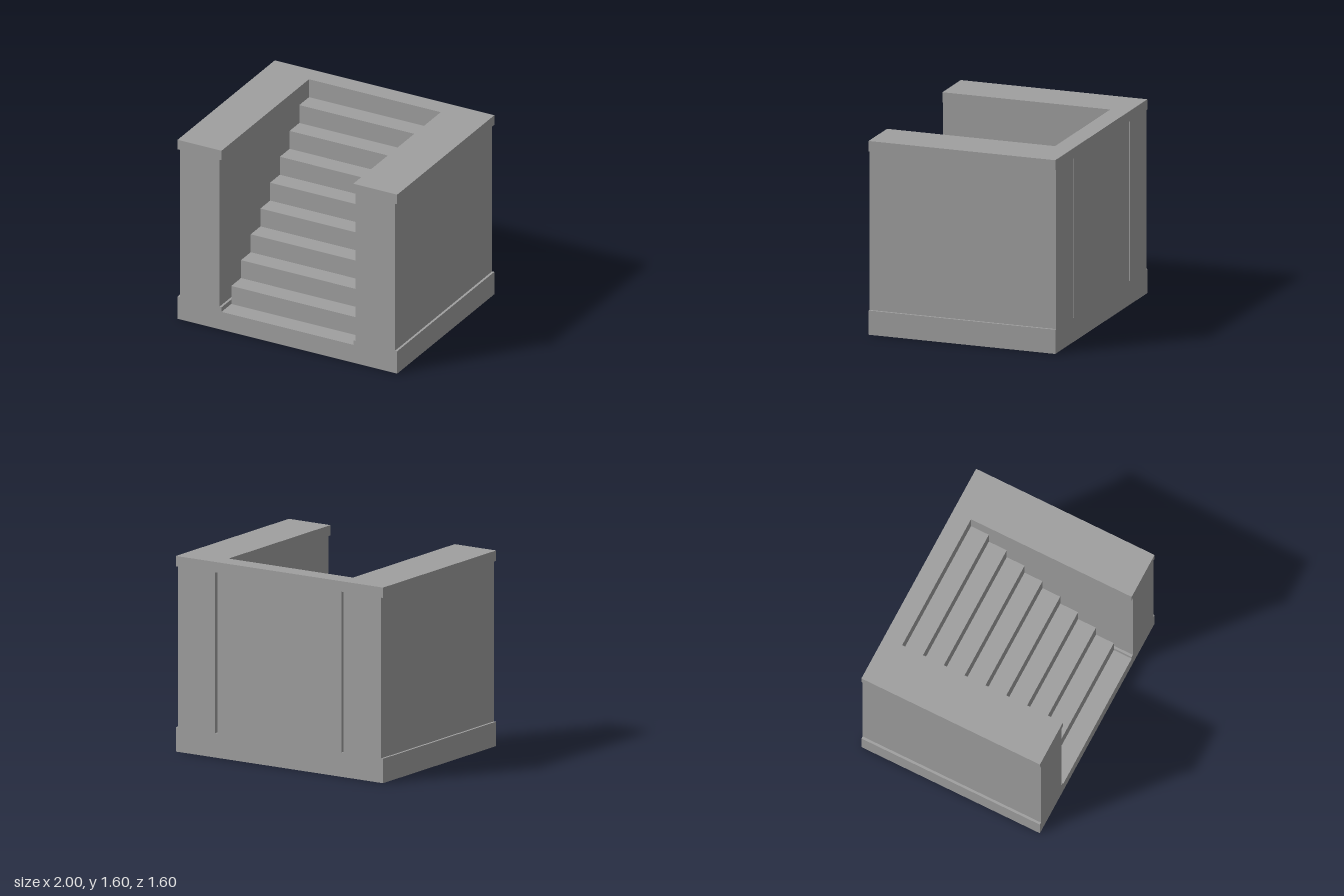
import * as THREE from 'three';

// Order of the side faces inside a BoxGeometry index
const SIDES = ['right', 'left', 'top', 'bottom', 'front', 'back'];

// Box between two corners, with the named sides left open
function openBox(min, max, open = []) {
  const size = max.map((v, i) => v - min[i]);
  const geo = new THREE.BoxGeometry(...size);
  geo.translate(...max.map((v, i) => (v + min[i]) / 2));
  const index = Array.from(geo.index.array);
  geo.setIndex(index.filter((_, i) => !open.includes(SIDES[Math.floor(i / 6)])));
  geo.clearGroups();
  return geo;
}

export function createModel() {
  const model = new THREE.Group();
  model.name = 'walledStaircase';
  const stone = new THREE.MeshStandardMaterial({ color: 0xa0a0a0, side: THREE.DoubleSide });
  stone.name = 'grey stone';

  const add = (parent, name, geometry) => {
    const mesh = new THREE.Mesh(geometry, stone);
    mesh.name = name;
    parent.add(mesh);
  };

  const depth = 0.8, inner = 0.6, outer = 1, inset = 0.02;
  const plinthTop = 0.2, capBottom = 1.515, height = 1.6;

  // Side walls: hollow plinth, narrower wall and overhanging cap
  for (const [side, sign] of [['left', 1], ['right', -1]]) {
    const wall = new THREE.Group();
    wall.name = side + 'SideWall';
    const block = (name, gap, y0, y1, open) => {
      const xs = [sign * (inner + gap), sign * (outer - gap)].sort((a, b) => a - b);
      add(wall, name, openBox([xs[0], y0, -depth], [xs[1], y1, depth], open));
    };
    block('plinth', 0, 0, plinthTop, ['bottom']);
    block('wall', inset, plinthTop, capBottom, ['top', 'bottom']);
    block('cap', 0, capBottom, height);
    model.add(wall);
  }

  // Stairs: hollow full-height steps; each riser closes the step before it
  const stairs = new THREE.Group();
  stairs.name = 'stairs';
  const count = 10, rise = height / count, run = (2 * depth) / count;
  for (let i = 0; i < count; i++) {
    const z = depth - i * run;
    const open = i < count - 1 ? ['bottom', 'back'] : ['bottom'];
    add(stairs, 'step' + (i + 1),
      openBox([-inner, 0, z - run], [inner, (i + 1) * rise, z], open));
  }
  model.add(stairs);

  return model;
}
